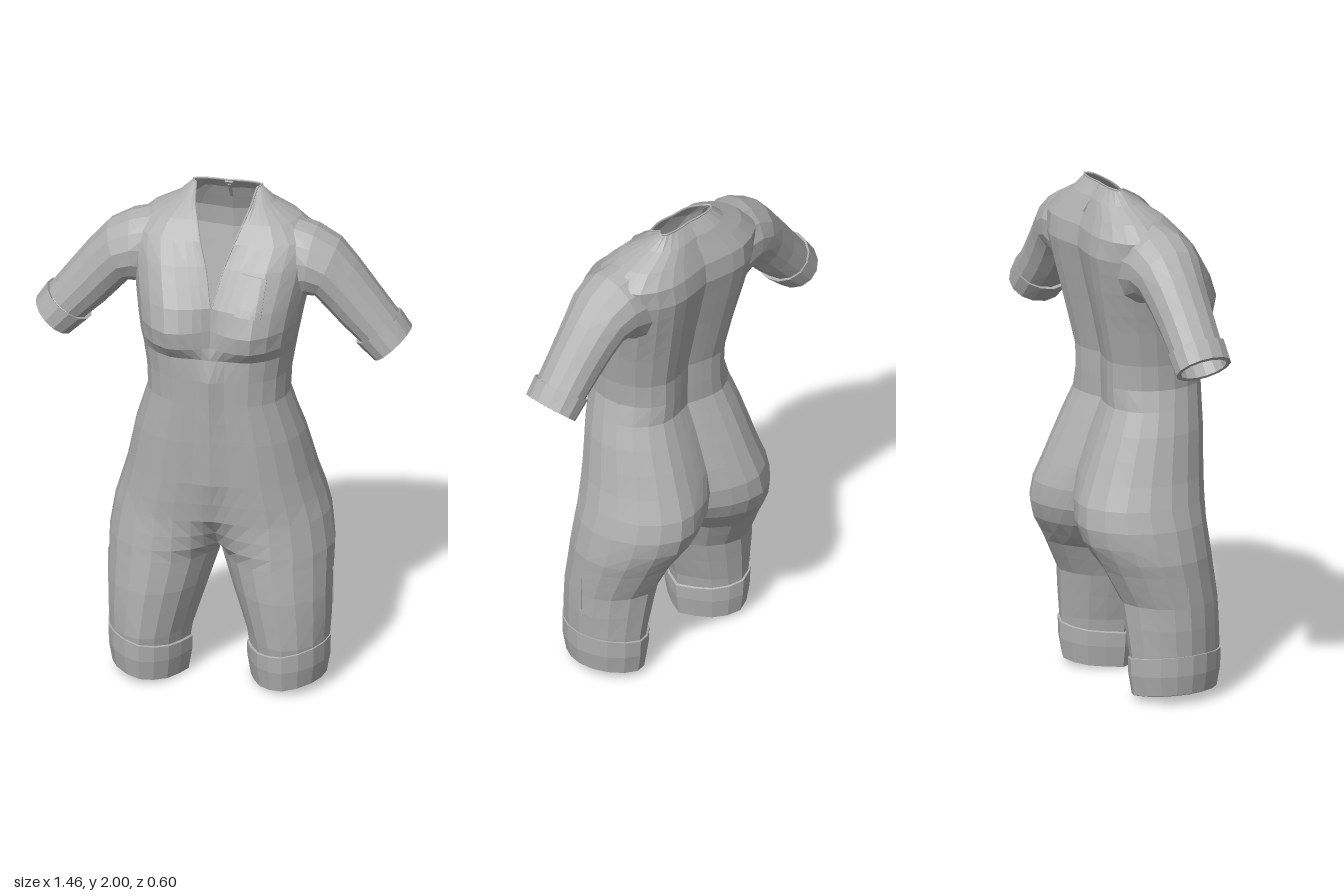
import * as THREE from 'three';

const fabric = new THREE.MeshStandardMaterial({ color: 0xb0b0b0, flatShading: true, side: THREE.DoubleSide });
const mix = THREE.MathUtils.lerp;

// Skin a grid of rows of points; s = -1 mirrors it to the other side.
function loft(name, rows, s = 1) {
  const pos = [];
  const tri = (...pts) => {
    if (s < 0) pts.reverse();
    pts.forEach(p => pos.push(p.x * s, p.y, p.z));
  };
  for (let i = 0; i < rows.length - 1; i++) {
    for (let j = 0; j < rows[i].length - 1; j++) {
      const a = rows[i][j], b = rows[i + 1][j], c = rows[i][j + 1], d = rows[i + 1][j + 1];
      tri(a, b, c);
      tri(c, b, d);
    }
  }
  const g = new THREE.BufferGeometry();
  g.setAttribute('position', new THREE.Float32BufferAttribute(pos, 3));
  g.computeVertexNormals();
  const m = new THREE.Mesh(g, fabric);
  m.name = name;
  return m;
}

// Outline drawn through a few [height, value] points
function outline(...pts) {
  return y => {
    const i = Math.max(1, pts.findIndex(p => p[0] >= y));
    const [y0, v0] = pts[i - 1], [y1, v1] = pts[i];
    return mix(v0, v1, (y - y0) / (y1 - y0));
  };
}

// Body outlines from leg hem to nape
const CROTCH = 0.52, V_POINT = 1.62;
const sideX = outline([0.12, 0.422], [0.3, 0.435], [0.57, 0.438], [0.7, 0.418], [0.87, 0.368], [1.05, 0.328],
  [1.22, 0.275], [1.32, 0.28], [1.53, 0.315], [1.7, 0.345], [1.84, 0.36], [1.9, 0.29], [1.95, 0.19], [2, 0.135]);
const sideZ = outline([0.12, 0.055], [0.39, 0.04], [0.57, 0], [0.78, -0.02], [0.96, 0.01], [1.22, 0.06],
  [1.46, 0.04], [1.7, -0.04], [2, -0.105]);
const frontPeak = outline([0.12, 0.232], [0.2, 0.245], [0.39, 0.243], [0.7, 0.214], [1.05, 0.235], [1.41, 0.25],
  [1.46, 0.288], [1.53, 0.3], [1.62, 0.268], [1.76, 0.18], [1.9, 0.05], [2, -0.09]);
const backPeak = outline([0.12, -0.122], [0.39, -0.148], [0.52, -0.215], [0.63, -0.278], [0.7, -0.296], [0.78, -0.288],
  [0.96, -0.215], [1.14, -0.138], [1.32, -0.14], [1.62, -0.205], [1.76, -0.232], [1.84, -0.222], [1.95, -0.165], [2, -0.122]);
const frontMid = outline([0.12, 0.055], [0.39, 0.045], [0.52, 0.03], [0.57, 0.1], [0.7, 0.195], [0.87, 0.24],
  [1.32, 0.275], [1.46, 0.25], [1.62, 0.232], [1.84, 0.115], [1.95, 0], [2, -0.085]);
// Depth of the groove down the spine and seat
const groove = outline([0.52, 0.2], [0.63, 0.108], [0.7, 0.076], [0.87, 0.037], [1.05, 0.028], [1.53, 0.027], [1.84, 0.017], [2, 0.004]);
// Inner edge: the thigh gap below, the open V above
const innerX = outline([0.12, 0.118], [0.2, 0.105], [0.52, 0.003], [0.57, 0], [1.62, 0], [1.76, 0.037], [1.84, 0.065], [1.95, 0.108], [2, 0.12]);

// Half section running front middle -> side -> back middle
function section(y, front, side, back, peakF, peakB) {
  const P = (x, z) => new THREE.Vector3(x, y, z);
  const quarter = (mid, peak) => [[0, 0], [0.2, 0.68], [0.53, 1]]
    .map(([t, k]) => P(mix(mid.x, side.x, t), mix(mid.z, peak, k)))
    .concat(P(mix(mid.x, side.x, 0.87), mix(side.z, peak, 0.63)));
  const curve = [...quarter(front, peakF), P(side.x, side.z), ...quarter(back, peakB).reverse()];
  return new THREE.CatmullRomCurve3(curve).getPoints(16);
}

// On the thighs each half closes on itself
function bodyRow(y) {
  const front = { x: innerX(y), z: frontMid(y) };
  const back = y <= CROTCH ? front : { x: 0, z: backPeak(y) + groove(y) };
  return section(y, front, { x: sideX(y), z: sideZ(y) }, back, frontPeak(y), backPeak(y));
}
const rowHeights = [2, 1.95, 1.9, 1.84, 1.76, 1.7, V_POINT, 1.53, 1.46, 1.41, 1.32, 1.22, 1.14, 1.05,
  0.96, 0.87, 0.78, 0.7, 0.63, 0.57, CROTCH, 0.46, 0.39, 0.3, 0.2, 0.12];

// Leg hem ring: grown outward, tilted from inner to outer side
function hemRing(grow, inner, outer) {
  const mid = { x: 0.115 - grow, z: 0.055 };
  const pts = section(0, mid, { x: 0.422 + grow, z: 0.055 }, mid, 0.238 + grow, -0.125 - grow);
  pts.forEach(p => { p.y = mix(inner, outer, (p.x - 0.115) / 0.307); });
  return pts;
}

// Sleeve ring from its top and underarm points, depth centre and depth radius
function sleeveRing([xt, yt, xb, yb, z, r]) {
  const n = 14;
  return Array.from({ length: n + 1 }, (_, i) => {
    const a = i / n * Math.PI * 2, k = (1 - Math.cos(a)) / 2;
    return new THREE.Vector3(mix(xb, xt, k), mix(yb, yt, k), z + Math.sin(a) * r);
  });
}
const sleeve = [
  [0.25, 1.905, 0.27, 1.56, -0.05, 0.135],
  [0.36, 1.88, 0.325, 1.6, -0.035, 0.145],
  [0.45, 1.83, 0.36, 1.6, -0.033, 0.135],
  [0.52, 1.75, 0.405, 1.55, -0.032, 0.12],
  [0.6, 1.645, 0.465, 1.485, -0.03, 0.11],
  [0.678, 1.54, 0.53, 1.425, -0.03, 0.105],
].map(sleeveRing);
const sleeveCuff = [
  [0.678, 1.535, 0.53, 1.425, -0.03, 0.104],
  [0.686, 1.547, 0.516, 1.42, -0.028, 0.115],
  [0.729, 1.482, 0.588, 1.353, -0.027, 0.113],
  [0.716, 1.468, 0.6, 1.366, -0.027, 0.095],
  [0.67, 1.52, 0.55, 1.43, -0.027, 0.09],
].map(sleeveRing);

// Depth of the chest front at (x, y)
function frontZ(x, y) {
  const row = bodyRow(y);
  const j = row.findIndex(p => p.x >= x);
  const a = row[j - 1], b = row[j];
  return mix(a.z, b.z, (x - a.x) / (b.x - a.x));
}

function box(name, size, at, tilt = 0) {
  const m = new THREE.Mesh(new THREE.BoxGeometry(...size), fabric);
  m.name = name;
  m.position.set(...at);
  m.rotation.x = tilt;
  return m;
}

export function createModel() {
  const model = new THREE.Group();
  model.name = 'shortJumpsuit';
  const rows = rowHeights.map(bodyRow);

  for (const s of [1, -1]) {
    const side = s > 0 ? 'left' : 'right';
    model.add(loft(side + 'Body', rows, s));
    model.add(loft(side + 'Sleeve', sleeve, s));
    model.add(loft(side + 'SleeveCuff', sleeveCuff, s));
    // Folded leg hem with an inner lip
    model.add(loft(side + 'LegHem', [
      hemRing(-0.004, 0.15, 0.2), hemRing(0.01, 0.145, 0.197), hemRing(0.008, 0.09, 0.12),
      hemRing(-0.006, 0.005, 0.045), hemRing(-0.022, 0, 0.04), hemRing(-0.024, 0.06, 0.1),
    ], s));
    model.add(box(side + 'HipSeam', [0.006, 0.15, 0.005], [s * 0.436, 0.4, 0.03]));
  }

  // Neckline piping, down one edge of the V and up the other
  const flip = p => new THREE.Vector3(-p.x, p.y, p.z);
  const edge = rows.slice(0, rowHeights.indexOf(V_POINT) + 1).map(r => r[0]);
  const half = [...rows[0].slice(1).reverse(), ...edge];
  const path = [...half, ...half.slice(1, -1).reverse().map(flip)];
  const piping = new THREE.Mesh(
    new THREE.TubeGeometry(new THREE.CatmullRomCurve3(path, true), 80, 0.004, 5, true), fabric);
  piping.name = 'necklinePiping';
  model.add(piping);

  // Chest pocket following the surface, its border tucked in
  const n = 7, pocket = [];
  for (let i = 0; i <= n; i++) {
    pocket.push([]);
    for (let j = 0; j <= n; j++) {
      const border = i % n === 0 || j % n === 0;
      const u = THREE.MathUtils.clamp((j - 1) / (n - 2), 0, 1), v = THREE.MathUtils.clamp((i - 1) / (n - 2), 0, 1);
      const x = mix(0.11, 0.21, u) - 0.01 * v, y = mix(1.755, 1.615, v) - 0.012 * u;
      pocket[i].push(new THREE.Vector3(x, y, frontZ(x, y) + (border ? -0.003 : 0.006)));
    }
  }
  model.add(loft('chestPocket', pocket));

  // Back neck closure
  model.add(box('napeClosure', [0.012, 0.1, 0.008], [0, 1.935, -0.16], 0.62));
  model.add(box('napeTab', [0.03, 0.016, 0.009], [0, 1.985, -0.128], 0.6));
  return model;
}
